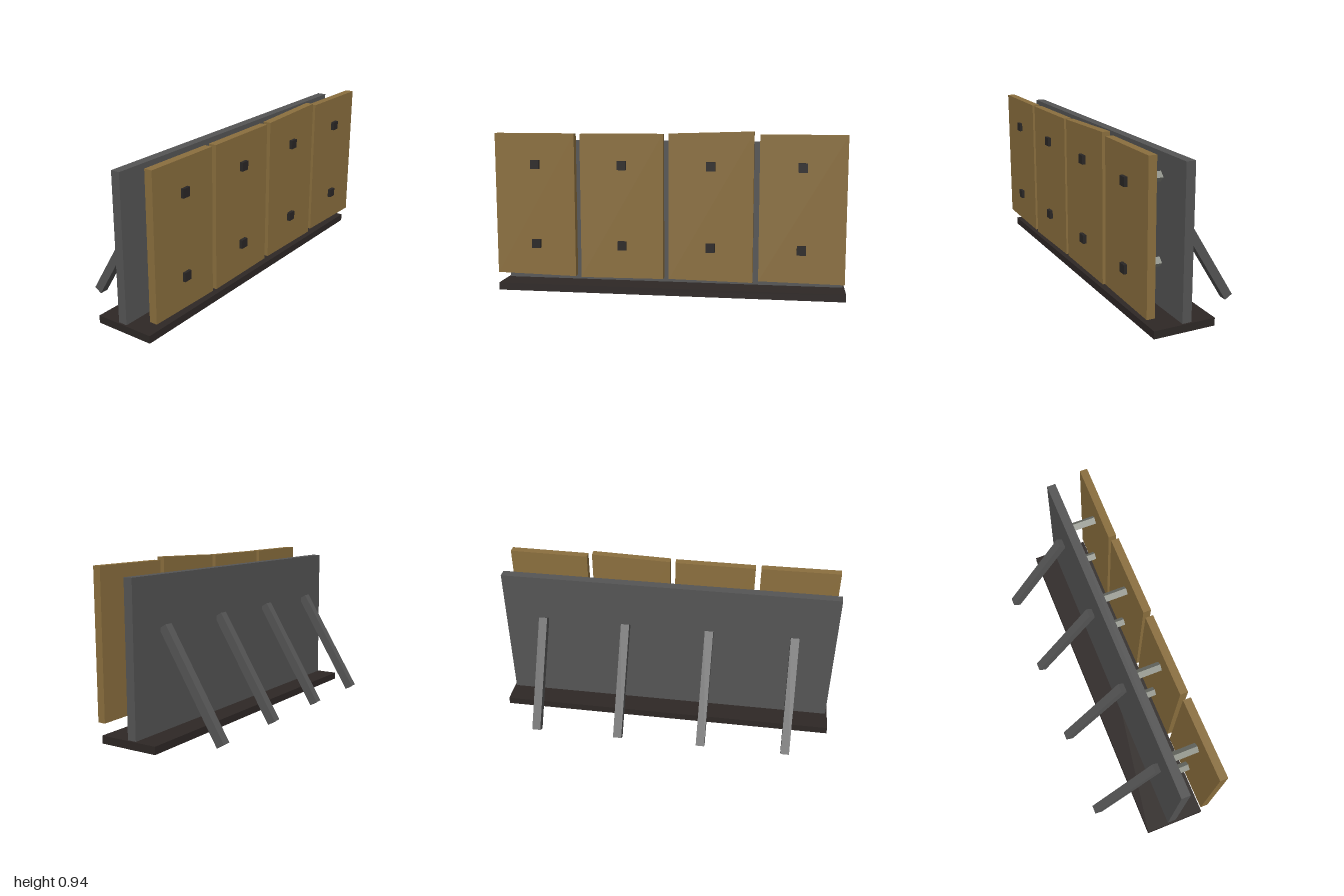
import * as THREE from 'three';

const material = (color) => new THREE.MeshStandardMaterial({ color, flatShading: true });

export function createModel() {
  const model = new THREE.Group();
  const steel = material(0x555555);
  const dark = material(0x2e2826);
  const bolt = material(0x2a2726);
  const wood = material(0x8b6f3e);
  const pale = material(0x8a8d84);

  const add = (name, geometry, mat, x, y, z) => {
    const mesh = new THREE.Mesh(geometry, mat);
    mesh.name = name;
    mesh.position.set(x, y, z);
    model.add(mesh);
    return mesh;
  };

  // Moves each corner of a box by a rule given its side signs
  const warp = (geometry, rule) => {
    const p = geometry.attributes.position;
    for (let i = 0; i < p.count; i++) {
      const v = new THREE.Vector3().fromBufferAttribute(p, i);
      rule(v, Math.sign(v.x), Math.sign(v.y), Math.sign(v.z));
      p.setXYZ(i, v.x, v.y, v.z);
    }
    geometry.computeVertexNormals();
    return geometry;
  };

  // Base plate and upright wall, whose lower edge dips slightly at one end
  add('basePlate', new THREE.BoxGeometry(0.35, 0.043, 2), dark, 0.103, 0.0265, 0);
  const wall = warp(new THREE.BoxGeometry(0.052, 0.877, 1.98), (v, sx, sy, sz) => {
    if (sy < 0) v.y += 0.0045 * (1 + sz) + (sx < 0 ? 0.002 * (1 + sz) : 0);
  });
  add('wall', wall, steel, 0.086, 0.4385, 0);

  // Uneven planks: z range, bottom and top heights at both ends, x shift at both ends
  const planks = [
    { z: [0.985, 0.523], bottom: [0.12, 0.11], top: [0.926, 0.925], x: [0.293, 0.29] },
    { z: [0.49, 0.017], bottom: [0.106, 0.11], top: [0.924, 0.926], x: [0.289, 0.288] },
    { z: [-0.015, -0.485], bottom: [0.112, 0.105], top: [0.928, 0.942], x: [0.289, 0.287] },
    { z: [-0.517, -0.988], bottom: [0.115, 0.11], top: [0.926, 0.926], x: [0.285, 0.291] },
  ];
  for (const k of planks) {
    const geometry = warp(new THREE.BoxGeometry(0.045, 1, 1), (v, sx, sy, sz) => {
      const end = sz > 0 ? 0 : 1;
      v.set(k.x[end] + v.x, (sy > 0 ? k.top : k.bottom)[end], k.z[end]);
    });
    add('plank', geometry, wood, 0, 0, 0);
  }

  // Strut axis from the ground up to the wall
  const foot = new THREE.Vector2(-0.309, 0.027);
  const head = new THREE.Vector2(0.049, 0.609);
  const span = head.clone().sub(foot);

  for (const z of [-0.75, -0.25, 0.25, 0.75]) {
    const strut = add('strut', new THREE.BoxGeometry(span.length(), 0.05, 0.05), steel,
      (foot.x + head.x) / 2, (foot.y + head.y) / 2, z);
    strut.rotation.z = span.angle();

    // Spacer rods between wall and planks, with square bolt heads outside
    for (const y of [0.75, 0.296]) {
      const spacer = add('spacer', new THREE.CylinderGeometry(0.0275, 0.0275, 0.18, 4), pale, 0.19, y, z);
      spacer.rotation.z = Math.PI / 2;
      add('boltHead', new THREE.BoxGeometry(0.04, 0.05, 0.05), bolt, 0.31, y, z);
    }
  }

  return model;
}
